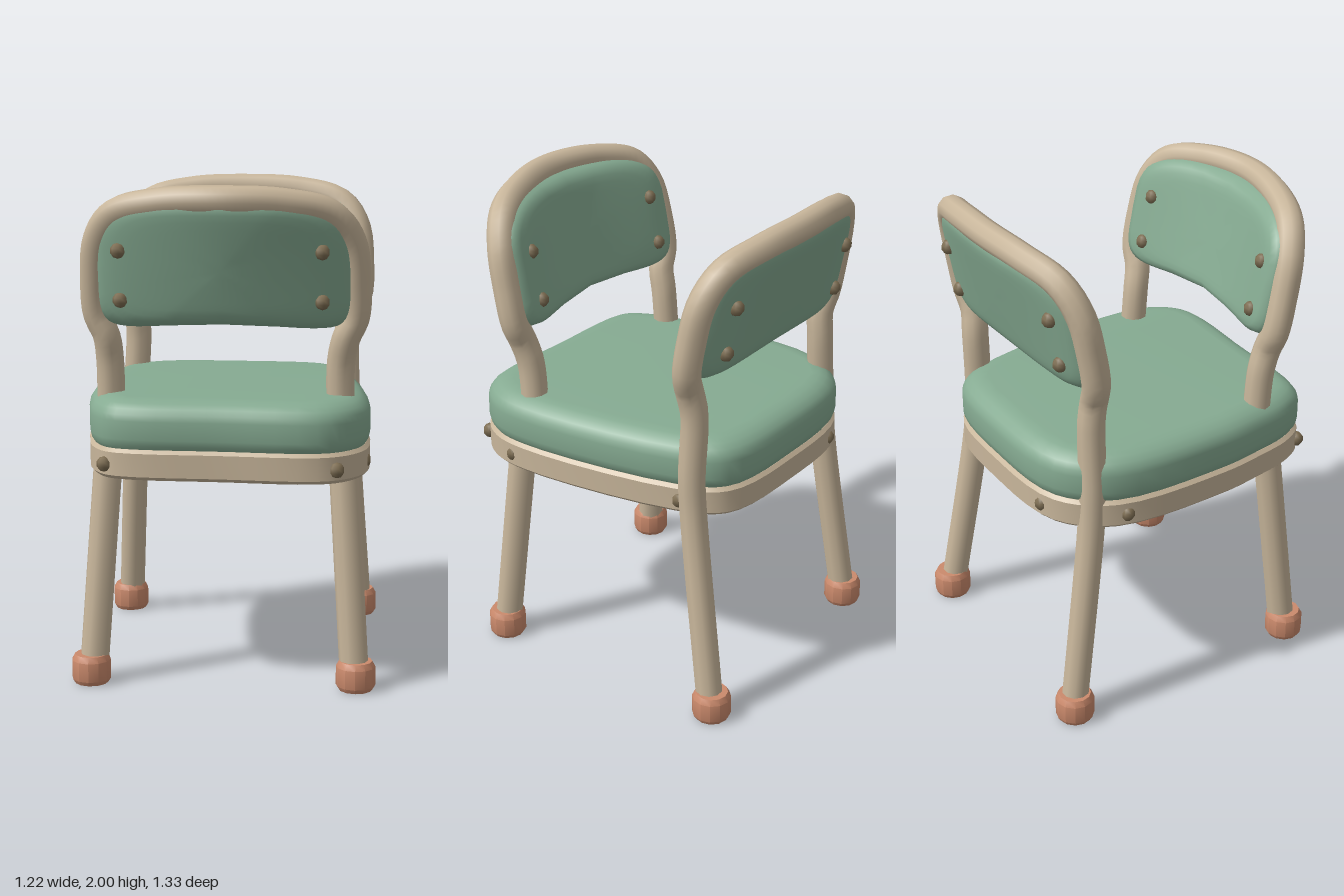
import * as THREE from 'three';
import { mergeVertices, toCreasedNormals } from 'three/addons/utils/BufferGeometryUtils.js';

const material = (name, color) => {
  const m = new THREE.MeshStandardMaterial({ color });
  m.name = name;
  return m;
};

export function createModel() {
  const root = new THREE.Group();
  root.name = 'doubleBackChair';
  const cream = material('cream frame', 0xc8b69b);
  const green = material('sage upholstery', 0x86ab92);
  const copper = material('copper feet', 0xcb8a6c);
  const bronze = material('bronze bolts', 0x7d6d52);

  const add = (name, geometry, mat, x = 0, y = 0, z = 0) => {
    const mesh = new THREE.Mesh(geometry, mat);
    mesh.name = name;
    mesh.position.set(x, y, z);
    root.add(mesh);
    return mesh;
  };
  const tube = (name, points, radius, segments) => {
    const path = new THREE.CatmullRomCurve3(points.map(p => new THREE.Vector3(...p)), false, 'centripetal');
    return add(name, new THREE.TubeGeometry(path, segments, radius, 10), cream);
  };

  // Seat outline (x, z), shared by the cushion and the rim
  const outline = [
    [-0.565, -0.38], [-0.588, 0.1], [-0.56, 0.3], [-0.515, 0.48], [-0.43, 0.585], [0, 0.622],
    [0.41, 0.62], [0.535, 0.5], [0.573, 0.3], [0.475, -0.4], [0.37, -0.56], [0, -0.61], [-0.4, -0.57],
  ];
  const seatCurve = new THREE.CatmullRomCurve3(
    outline.map(([x, z]) => new THREE.Vector3(x, z, 0)), true, 'centripetal');
  const seatPoints = seatCurve.getPoints(64).slice(0, -1).map(p => new THREE.Vector2(p.x, p.y));
  const slab = (bottom, top, bevelSize, bevelThickness, steps) => {
    const g = new THREE.ExtrudeGeometry(new THREE.Shape(seatPoints), {
      depth: top - bottom - 2 * bevelThickness, bevelSize, bevelThickness,
      bevelOffset: -bevelSize, bevelSegments: steps,
    });
    g.rotateX(Math.PI / 2);
    g.translate(0, top - bevelThickness, 0);
    return toCreasedNormals(g, 0.7);
  };
  add('seatCushion', slab(0.94, 1.172, 0.105, 0.08, 5), green);
  add('seatRim', slab(0.86, 0.98, 0.014, 0.014, 1), cream);

  // Bow and lean of a backrest: distance from the seat centre at (x, y)
  const backrests = [
    { name: 'front', side: 1, base: 0.37, slope: 0.2, bow: 0.082, curve: 1.6, outer: 0.06, inner: 0.095 },
    { name: 'rear', side: -1, base: 0.428, slope: 0.17, bow: 0.03, curve: 2.2, outer: 0.06, inner: 0.085 },
  ];
  const lean = (b, x, y) => b.base + b.slope * (y - 1.4)
    + (b.bow + 0.1 * (y - 1.4)) * (1 - Math.abs(x / 0.52) ** b.curve);

  // Padded panel lapping over the frame: a sphere reshaped to a bowed, rounded rectangle
  const panelGeometry = b => {
    let g = new THREE.SphereGeometry(1, 48, 20);
    g.rotateX(Math.PI / 2);
    const p = g.attributes.position;
    const power = (v, e) => Math.sign(v) * Math.abs(v) ** e;
    for (let i = 0; i < p.count; i++) {
      const f = Math.min(1, Math.hypot(p.getX(i), p.getY(i)));
      const a = Math.atan2(p.getY(i), p.getX(i));
      const e = Math.sin(a) > 0 ? 0.52 : 0.42;
      const x = 0.515 * f * power(Math.cos(a), e);
      const v = f * power(Math.sin(a), e);
      let y = 1.672 + 0.265 * v;
      if (v < 0) y -= 0.05 * v * (1 - (x / 0.48) ** 2);
      const face = Math.sign(p.getZ(i));
      const puff = face * (face === b.side ? b.outer : b.inner) * Math.sqrt(1 - f ** 14);
      p.setXYZ(i, x, y, b.side * lean(b, x, y) + puff);
    }
    g.deleteAttribute('uv');
    g.deleteAttribute('normal');
    g = mergeVertices(g, 1e-4);
    g.computeVertexNormals();
    return g;
  };

  // Low-sided domed bolt, used on panels and rim
  const boltGeometry = new THREE.SphereGeometry(0.031, 7, 5);
  const bolt = (name, x, y, z) => add(name, boltGeometry, bronze, x, y, z);

  // Half of the bent hoop as (x, y), mirrored to make the whole arch
  const hoop = [[0.475, 1.4], [0.51, 1.48], [0.515, 1.62], [0.495, 1.78], [0.42, 1.885], [0.24, 1.932]];
  for (const b of backrests) {
    const at = (x, y) => [x, y, b.side * lean(b, x, y)];
    const arch = [
      ...hoop.map(([x, y]) => at(-x, y)),
      at(0, 1.943),
      ...hoop.slice().reverse().map(([x, y]) => at(x, y)),
    ];
    if (b.side > 0) {
      // Front posts stand on the cushion
      tube('frontBackrestFrame', [
        [-0.465, 1.08, 0.342], [-0.465, 1.3, 0.36], ...arch,
        [0.455, 1.3, 0.36], [0.455, 1.08, 0.342],
      ], 0.056, 90);
    } else {
      // Rear posts run outside the seat and become the rear legs
      tube('rearBackrestFrameAndLegs', [
        [-0.53, 0.05, -0.575], [-0.488, 0.85, -0.46], [-0.484, 1.02, -0.448], [-0.468, 1.3, -0.442], ...arch,
        [0.455, 1.3, -0.442], [0.462, 1.02, -0.437], [0.465, 0.85, -0.45], [0.52, 0.05, -0.575],
      ], 0.056, 120);
    }
    add(b.name + 'BackrestPanel', panelGeometry(b), green);
    for (const x of [-0.4, 0.385]) {
      for (const y of [1.55, 1.745]) {
        const z = lean(b, x, y);
        bolt(b.name + 'PanelOuterBolt', x, y, b.side * (z + b.outer));
        bolt(b.name + 'PanelInnerBolt', x, y, b.side * (z - b.inner + 0.008));
      }
    }
  }

  // Front legs splay outward from the rim
  for (const side of [-1, 1]) {
    tube('frontLeg', [[side * 0.468, 0.92, 0.405], [side * 0.525, 0.05, 0.485]], 0.058, 1);
  }

  // Rubber feet with bevelled edges
  const footProfile = [[0, 0], [0.068, 0], [0.079, 0.018], [0.079, 0.095], [0.066, 0.118], [0, 0.118]]
    .map(p => new THREE.Vector2(...p));
  const footGeometry = toCreasedNormals(new THREE.LatheGeometry(footProfile, 12), 0.6);
  for (const [x, z] of [[-0.535, 0.49], [0.53, 0.485], [-0.535, -0.575], [0.52, -0.582]]) {
    add('foot', footGeometry, copper, x, 0, z);
  }

  // Bolts around the rim
  for (const [x, z] of [
    [-0.46, 0.565], [0.45, 0.603], [0.55, 0.39], [-0.565, -0.34], [0.472, -0.385], [-0.32, -0.582],
  ]) {
    bolt('rimBolt', x, 0.915, z);
  }

  return root;
}
